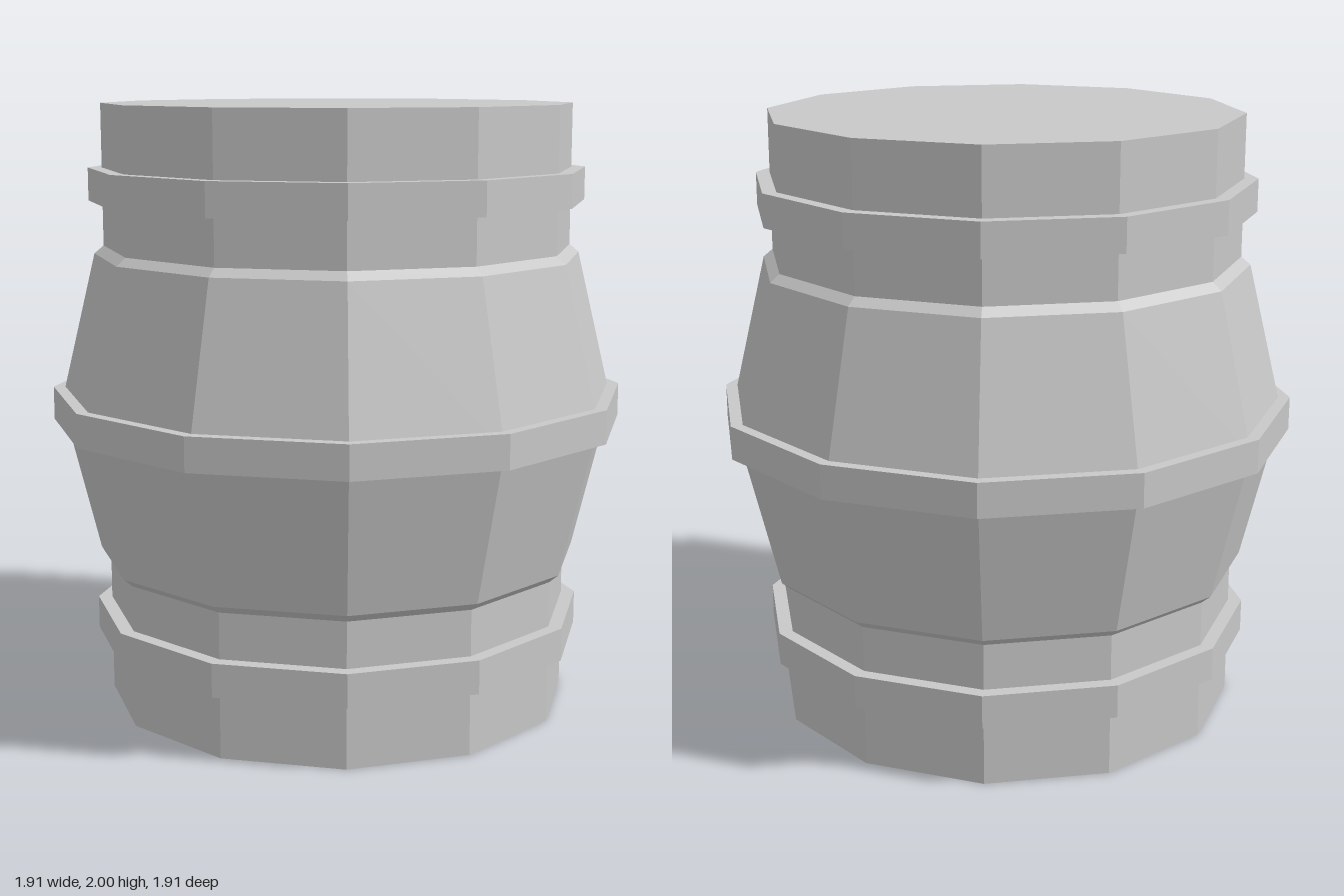
import * as THREE from 'three';

const SIDES = 12;

export function createModel() {
  const model = new THREE.Group();
  model.name = 'barrel';
  const grey = new THREE.MeshStandardMaterial({ color: 0xc8c8c8, flatShading: true });
  grey.name = 'light grey';

  // Turn a profile of [radius, height] points, bottom to top, into a faceted part
  function turned(name, profile) {
    const points = profile.map(([r, y]) => new THREE.Vector2(r, y));
    const geometry = new THREE.LatheGeometry(points, SIDES).toNonIndexed();
    geometry.computeVertexNormals();
    const mesh = new THREE.Mesh(geometry, grey);
    mesh.name = name;
    model.add(mesh);
  }

  // Closed body: straight necks, small chamfers and a bulging middle
  turned('body', [
    [0, 0], [0.777, 0], [0.777, 0.473], [0.808, 0.5],
    [0.93, 1.003],
    [0.808, 1.507], [0.777, 1.533], [0.777, 2], [0, 2],
  ]);

  // Raised hoops
  const hoops = [
    ['lowerHoop', 0.823, 0.214, 0.323],
    ['middleHoop', 0.956, 0.948, 1.058],
    ['upperHoop', 0.823, 1.682, 1.79],
  ];
  for (const [name, r, y0, y1] of hoops) {
    turned(name, [[r - 0.07, y0], [r, y0], [r, y1], [r - 0.07, y1]]);
  }
  return model;
}
